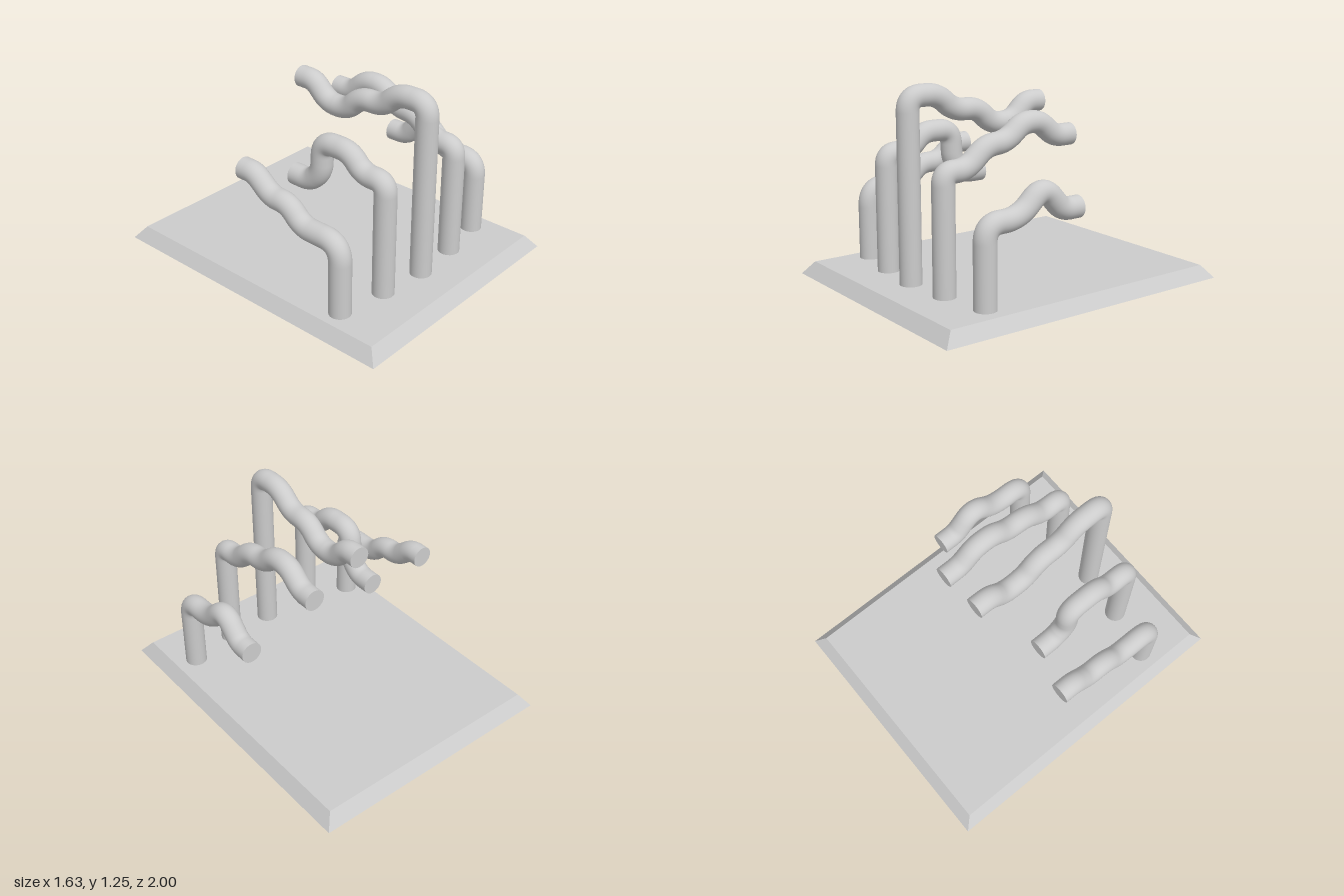
import * as THREE from 'three';

const RADIUS = 0.067;
const BASE_HEIGHT = 0.08;

// Plate with bevelled sides: a box whose top corners are drawn in
function makeBase(material) {
  const geometry = new THREE.BoxGeometry(1.63, BASE_HEIGHT, 2);
  const p = geometry.attributes.position;
  for (let i = 0; i < p.count; i++) {
    if (p.getY(i) > 0) {
      p.setX(i, Math.sign(p.getX(i)) * 0.755);
      p.setZ(i, Math.sign(p.getZ(i)) * 0.935);
    }
  }
  geometry.computeVertexNormals();
  const base = new THREE.Mesh(geometry, material);
  base.name = 'base';
  base.position.y = BASE_HEIGHT / 2;
  return base;
}

// Straight runs between the corners, with each corner rounded off
function roundedPath(corners) {
  const path = new THREE.CurvePath();
  let start = corners[0];
  for (let i = 1; i < corners.length - 1; i++) {
    const [before, corner, after] = corners.slice(i - 1, i + 2);
    const cut = Math.min(0.12, 0.45 * Math.min(corner.distanceTo(before), corner.distanceTo(after)));
    const towards = (p) => p.clone().sub(corner).setLength(cut).add(corner);
    const bendStart = towards(before);
    const bendEnd = towards(after);
    path.add(new THREE.LineCurve3(start, bendStart));
    path.add(new THREE.QuadraticBezierCurve3(bendStart, corner, bendEnd));
    start = bendEnd;
  }
  path.add(new THREE.LineCurve3(start, corners[corners.length - 1]));
  return path;
}

// A post rising from the plate at postZ, bending into a wavy arm with a flat end.
// The arm's corners are [z, y] pairs in a plane of constant x.
function makePipe(name, x, postZ, arm, material) {
  const pipe = new THREE.Group();
  pipe.name = name;
  pipe.position.x = x;

  const corners = [[postZ, BASE_HEIGHT], [postZ, arm[0][1]], ...arm]
    .map(([z, y]) => new THREE.Vector3(0, y, z));
  const tube = new THREE.Mesh(
    new THREE.TubeGeometry(roundedPath(corners), 160, RADIUS, 32), material);
  tube.name = 'tube';

  const cap = new THREE.Mesh(new THREE.CircleGeometry(RADIUS, 32), material);
  cap.name = 'endCap';
  cap.position.copy(corners[corners.length - 1]);
  cap.rotation.y = Math.PI;

  pipe.add(tube, cap);
  return pipe;
}

export function createModel() {
  const material = new THREE.MeshStandardMaterial({ color: 0xcccccc });
  const model = new THREE.Group();
  model.name = 'pipeStand';
  model.add(makeBase(material));

  // Five pipes from the model's right to its left
  const addPipe = (name, x, postZ, arm) => model.add(makePipe(name, x, postZ, arm, material));
  addPipe('farRightPipe', -0.635, 0.605,
    [[0.33, 0.535], [0.22, 0.64], [0.09, 0.64], [-0.04, 0.745], [-0.135, 0.745]]);
  addPipe('rightPipe', -0.32, 0.66,
    [[0.5, 0.805], [0.4, 0.908], [0.195, 0.908], [0.185, 0.71], [0.1, 0.62], [-0.03, 0.62]]);
  addPipe('middlePipe', -0.01, 0.695,
    [[0.5, 1.185], [0.38, 1.08], [0.22, 1.08], [0.11, 0.975], [-0.04, 0.975], [-0.15, 1.085], [-0.255, 1.085]]);
  addPipe('leftPipe', 0.305, 0.67,
    [[0.52, 0.795], [0.38, 0.915], [0.24, 0.925], [0.12, 1.02], [0, 1.02], [-0.12, 0.92], [-0.24, 0.92]]);
  addPipe('farLeftPipe', 0.62, 0.615,
    [[0.39, 0.56], [0.22, 0.72], [0.08, 0.565], [-0.04, 0.565]]);
  return model;
}
